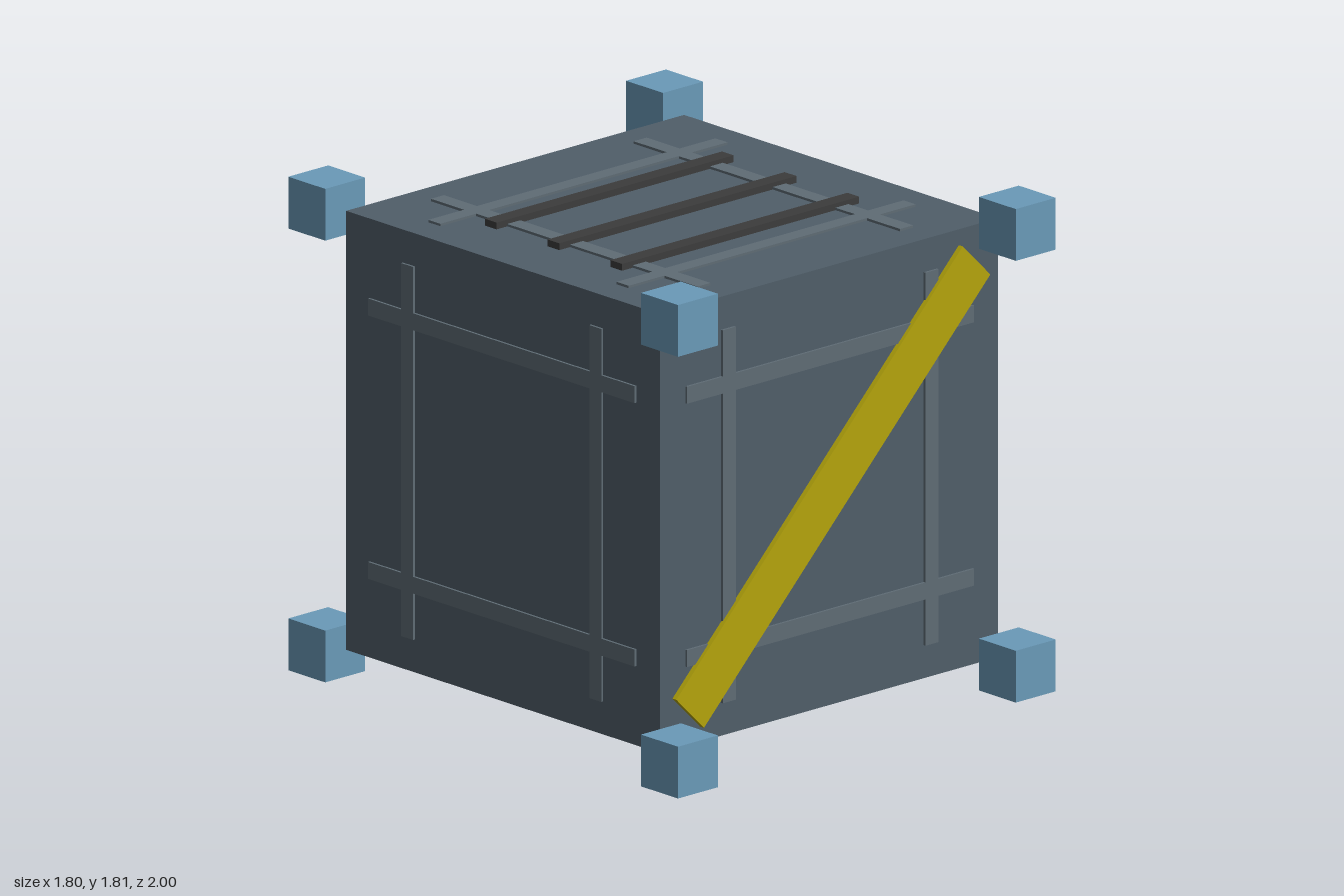
import * as THREE from 'three';

const HALF = 0.805;   // half the body edge
const MID = 0.905;    // height of the body centre

export function createModel() {
  const root = new THREE.Group();
  root.name = 'crate';
  const mat = (color) => new THREE.MeshStandardMaterial({ color, flatShading: true });
  const bodyMat = mat(0x505e69), stripMat = mat(0x5f6c75), cornerMat = mat(0x6a9ab8);
  const barMat = mat(0x3c3c3c), stripeMat = mat(0xb4a40c);

  const box = (parent, name, size, pos, material) => {
    const mesh = new THREE.Mesh(new THREE.BoxGeometry(...size), material);
    mesh.name = name;
    mesh.position.set(...pos);
    parent.add(mesh);
    return mesh;
  };

  // Main cube
  box(root, 'body', [HALF * 2, HALF * 2, HALF * 2], [0, MID, 0], bodyMat);

  // Four crossing raised strips on each of the six faces
  const faces = {
    front: [0, 0], left: [0, Math.PI / 2], back: [0, Math.PI], right: [0, -Math.PI / 2],
    top: [-Math.PI / 2, 0], bottom: [Math.PI / 2, 0],
  };
  for (const [side, [rx, ry]] of Object.entries(faces)) {
    const panel = new THREE.Group();
    panel.name = side + 'Strips';
    panel.position.y = MID;
    panel.rotation.set(rx, ry, 0);
    for (const s of [-1, 1]) {
      box(panel, 'uprightStrip', [0.062, 1.368, 0.02], [s * 0.483, 0, HALF - 0.001], stripMat);
      box(panel, 'crossStrip', [1.368, 0.062, 0.02], [0, s * 0.483, HALF - 0.001], stripMat);
    }
    root.add(panel);
  }

  // Corner blocks, set just outside the front and back faces
  for (const x of [-1, 1]) for (const y of [-1, 1]) for (const z of [-1, 1]) {
    box(root, 'cornerBlock', [0.19, 0.19, 0.19], [x * HALF, MID + y * 0.81, z * 0.905], cornerMat);
  }

  // Three dark bars across the top
  for (const z of [-0.322, 0, 0.322]) {
    box(root, 'topBar', [1.13, 0.04, 0.06], [0, 1.715, z], barMat);
  }

  // Diagonal band on the front
  const band = box(root, 'diagonalBand', [1.93, 0.186, 0.02], [0, MID, 0.818], stripeMat);
  band.rotation.z = Math.PI / 4;

  return root;
}
